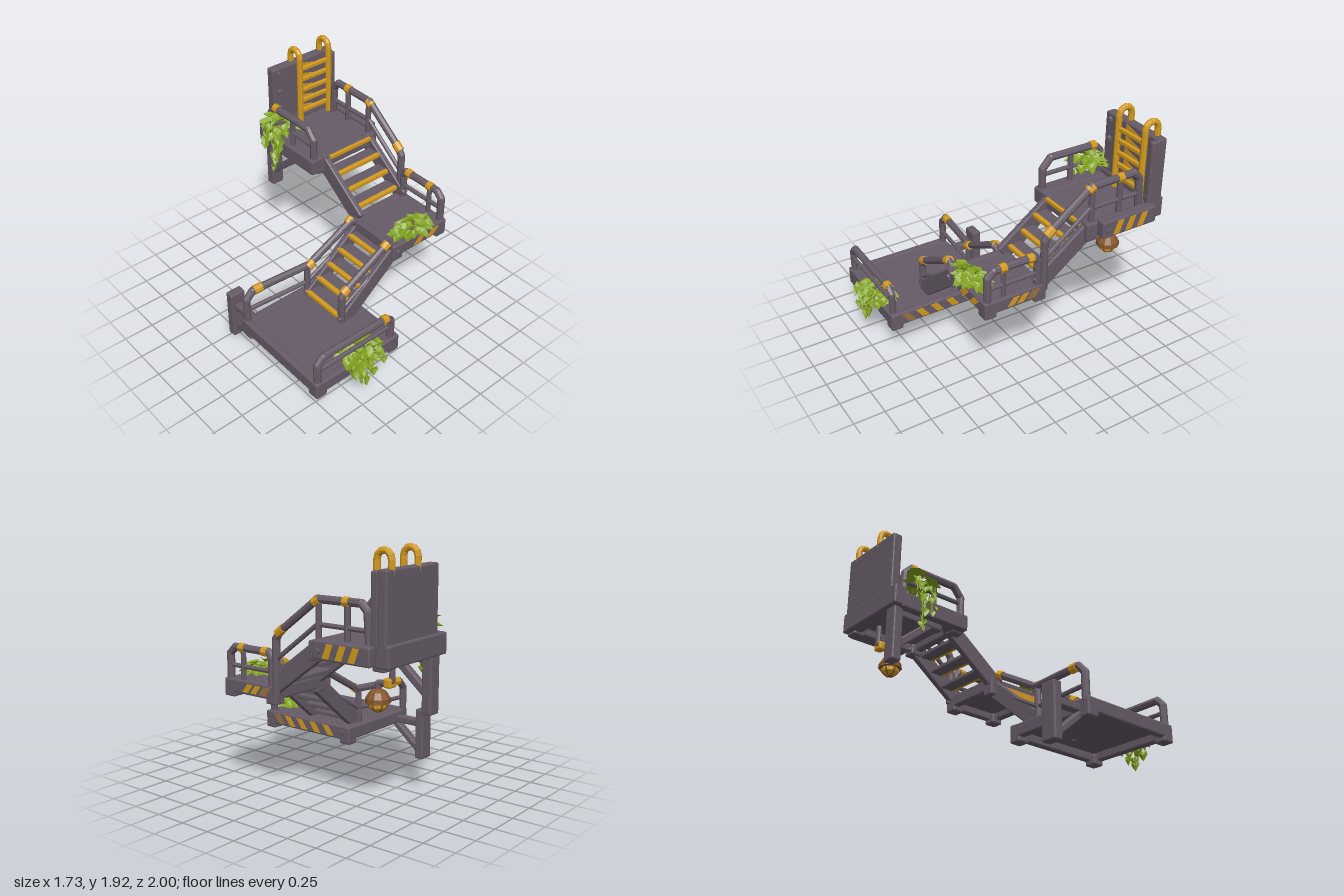
import * as THREE from 'three';
import { mergeGeometries } from 'three/addons/utils/BufferGeometryUtils.js';
import { RoundedBoxGeometry } from 'three/addons/geometries/RoundedBoxGeometry.js';

const material = (name, color) => Object.assign(new THREE.MeshStandardMaterial({ color }), { name });
const V = (x, y, z) => new THREE.Vector3(x, y, z);

export function createModel() {
  const root = new THREE.Group();
  root.name = 'industrialStairs';
  const steel = material('purple grey steel', 0x665b67);
  const yellow = material('safety yellow', 0xd39a1e);
  const worn = material('worn yellow', 0x97713f);
  const rust = material('rust brown', 0x85572c);
  const green = material('leaf green', 0x83a31f);
  green.side = THREE.DoubleSide;

  const flat = (geo) => {
    const g = geo.index ? geo.toNonIndexed() : geo;
    g.computeVertexNormals();
    return g;
  };
  const add = (name, geo, mat, parent = root) => {
    const m = new THREE.Mesh(flat(geo), mat);
    m.name = name;
    parent.add(m);
    return m;
  };
  // Chamfered box given by its extents
  const box = (name, mat, x0, x1, y0, y1, z0, z1, r = 0.012) => {
    const w = x1 - x0, h = y1 - y0, d = z1 - z0;
    const m = add(name, new RoundedBoxGeometry(w, h, d, 1, Math.min(r, w / 3, h / 3, d / 3)), mat);
    m.position.set((x0 + x1) / 2, (y0 + y1) / 2, (z0 + z1) / 2);
    return m;
  };
  // Rectangular bar between two points
  const beam = (name, mat, a, b, w, h) => {
    const m = add(name, new RoundedBoxGeometry(w, h, a.distanceTo(b), 1, 0.01), mat);
    m.position.copy(a).lerp(b, 0.5);
    m.lookAt(b);
    return m;
  };
  const rod = (a, b, r) => {
    const g = new THREE.CylinderGeometry(r, r, a.distanceTo(b), 8);
    const q = new THREE.Quaternion().setFromUnitVectors(V(0, 1, 0), b.clone().sub(a).normalize());
    const c = a.clone().lerp(b, 0.5);
    return g.applyQuaternion(q).translate(c.x, c.y, c.z);
  };
  // Pipe through a list of points, with ball joints at the bends
  const pipe = (name, mat, pts, r = 0.03) => {
    const parts = [];
    pts.forEach((p, i) => {
      if (i) parts.push(rod(pts[i - 1], p, r));
      if (i && i < pts.length - 1) parts.push(new THREE.SphereGeometry(r * 1.02, 8, 6).translate(p.x, p.y, p.z));
    });
    add(name, mergeGeometries(parts), mat);
  };
  const band = (a, b) => add('yellowBand', rod(a, b, 0.036), yellow);
  // Slanted hazard stripe on a +z face, or on a +x face when side is true
  const stripe = (u, y0, y1, plane, side, lean = 0.05, w = 0.055, mat = yellow) => {
    const s = new THREE.Shape([[-w / 2 - lean / 2, y0], [w / 2 - lean / 2, y0], [w / 2 + lean / 2, y1],
      [-w / 2 + lean / 2, y1]].map(([x, y]) => new THREE.Vector2(x, y)));
    const m = add('hazardStripe', new THREE.ExtrudeGeometry(s, { depth: 0.005, bevelEnabled: false }), mat);
    if (side) m.rotation.y = Math.PI / 2;
    m.position.set(side ? plane : u, 0, side ? u : plane);
  };
  const bolt = (x, y, z, side) => {
    const g = new THREE.CylinderGeometry(0.022, 0.026, 0.025, 6);
    if (side) g.rotateZ(-Math.PI / 2); else g.rotateX(Math.PI / 2);
    add('bolt', g.translate(x, y, z), steel);
  };
  // Deck sheet on a rim of four beams, with corner blocks
  const platform = (name, x0, x1, y0, y1, z0, z1) => {
    const t = 0.06;
    box(name + 'Deck', steel, x0 + 0.02, x1 - 0.02, y1 - 0.045, y1 - 0.005, z0 + 0.02, z1 - 0.02);
    for (const [a, b] of [[x0, x0 + t], [x1 - t, x1]]) box(name + 'SideBeam', steel, a, b, y0, y1, z0, z1);
    for (const [a, b] of [[z0, z0 + t], [z1 - t, z1]]) box(name + 'EndBeam', steel, x0 + 0.03, x1 - 0.03, y0 + 0.003, y1 - 0.003, a, b);
    for (const x of [x0 + 0.05, x1 - 0.05]) for (const z of [z0 + 0.05, z1 - 0.05])
      box(name + 'CornerBlock', steel, x - 0.05, x + 0.05, y0 - 0.035, y0 + 0.05, z - 0.05, z + 0.05);
  };

  // Platforms
  platform('lower', -0.86, -0.05, 0.26, 0.37, 0, 0.9);
  platform('middle', 0.2, 0.77, 0.755, 0.86, 0.03, 0.55);
  platform('upper', 0.16, 0.79, 1.14, 1.25, -0.95, -0.3);
  box('upperLeftBeam', steel, 0.1, 0.23, 1.12, 1.25, -0.92, -0.3);
  box('upperRightBeam', steel, 0.77, 0.86, 1.14, 1.275, -0.88, -0.39);
  box('upperBackBeam', steel, 0.1, 0.8, 1.13, 1.29, -0.99, -0.88);
  [0.63, 0.5, 0.36, 0.22].forEach((z) => stripe(z, 0.275, 0.355, -0.052, true, -0.06, 0.06));
  stripe(0.75, 0.275, 0.355, -0.052, true, -0.06, 0.06, worn);
  stripe(0.48, 0.775, 0.84, 0.548, false, 0.06, 0.07);
  stripe(0.62, 0.775, 0.84, 0.548, false, 0.06, 0.07);
  [0.31, 0.23].forEach((z) => stripe(z, 0.775, 0.84, 0.768, true));
  stripe(0.14, 0.775, 0.84, 0.768, true, 0.05, 0.07, worn);
  [-0.53, -0.64, -0.75].forEach((z) => stripe(z, 1.155, 1.26, 0.858, true, 0.04));
  bolt(0.86, 1.2, -0.44, true);
  bolt(0.25, 0.8, 0.555);
  bolt(-0.05, 0.32, 0.08, true);

  // Stairs with yellow nosings
  for (let i = 0; i < 5; i++) {
    const x = -0.29 + i * 0.107, y = 0.42 + i * 0.088;
    box('lowerTread', steel, x, x + 0.11, y - 0.035, y - 0.003, 0.09, 0.5, 0.006);
    box('lowerNosing', yellow, x - 0.02, x + 0.016, y - 0.035, y, 0.1, 0.49, 0.006);
  }
  for (let i = 0; i < 4; i++) {
    const z = 0.03 - i * 0.11, y = 0.93 + i * 0.104;
    box('upperTread', steel, 0.27, 0.72, y - 0.035, y - 0.003, z - 0.11, z, 0.006);
    box('upperNosing', yellow, 0.28, 0.71, y - 0.035, y, z - 0.016, z + 0.02, 0.006);
  }
  for (const z of [0.1, 0.5]) beam('lowerStringer', steel, V(-0.28, 0.35, z), V(0.26, 0.8, z), 0.05, 0.13);
  for (const x of [0.255, 0.73]) beam('upperStringer', steel, V(x, 0.85, 0.09), V(x, 1.2, -0.38), 0.05, 0.14);

  // Lower platform and lower stair railings
  pipe('lowerFrontRail', steel, [V(-0.82, 0.34, 0.86), V(-0.82, 0.53, 0.86), V(-0.77, 0.585, 0.86), V(-0.16, 0.575, 0.86), V(-0.11, 0.53, 0.86), V(-0.11, 0.34, 0.86)]);
  pipe('lowerFrontMidRail', steel, [V(-0.82, 0.47, 0.86), V(-0.11, 0.47, 0.86)], 0.018);
  band(V(-0.2, 0.577, 0.86), V(-0.15, 0.573, 0.86));
  pipe('lowerBackRail', steel, [V(-0.82, 0.34, 0.02), V(-0.82, 0.56, 0.02), V(-0.76, 0.625, 0.02), V(-0.25, 0.645, 0.08),
    V(0.16, 0.88, 0.1), V(0.2, 0.86, 0.1), V(0.22, 0.78, 0.1)]);
  pipe('lowerBackMidRail', steel, [V(-0.82, 0.47, 0.03), V(-0.27, 0.48, 0.08), V(0.18, 0.74, 0.1)], 0.018);
  pipe('lowerBackPost', steel, [V(-0.28, 0.34, 0.08), V(-0.27, 0.645, 0.08)], 0.025);
  band(V(-0.75, 0.625, 0.021), V(-0.68, 0.628, 0.029));
  pipe('lowerStairRail', steel, [V(-0.28, 0.34, 0.5), V(-0.28, 0.6, 0.5), V(-0.25, 0.645, 0.5), V(0.16, 0.88, 0.5), V(0.2, 0.86, 0.5), V(0.23, 0.8, 0.5)]);
  pipe('lowerStairMidRail', steel, [V(-0.28, 0.48, 0.5), V(0.18, 0.75, 0.5)], 0.018);
  for (const z of [0.09, 0.5]) {
    band(V(-0.27, 0.634, z), V(-0.22, 0.663, z));
    band(V(0.13, 0.863, z), V(0.18, 0.89, z));
  }

  // Middle platform and upper stair railings
  const mx = 0.735;
  pipe('middleRail', steel, [V(mx, 0.8, 0.51), V(mx, 1.05, 0.51), V(mx, 1.1, 0.46), V(mx, 1.1, 0.12), V(mx, 1.06, 0.09), V(mx, 0.8, 0.09)]);
  pipe('middleMidRail', steel, [V(mx, 0.96, 0.51), V(mx, 0.96, 0.09)], 0.018);
  pipe('middlePost', steel, [V(mx, 0.84, 0.38), V(mx, 1.1, 0.38)], 0.02);
  band(V(mx, 1.1, 0.41), V(mx, 1.1, 0.36));
  band(V(mx, 1.1, 0.18), V(mx, 1.1, 0.13));
  const ux = 0.745;
  pipe('upperRightRail', steel, [V(ux, 0.8, 0.04), V(ux, 1.21, 0.04), V(ux, 1.27, 0), V(ux, 1.535, -0.35), V(ux, 1.54, -0.73), V(ux, 1.49, -0.78), V(ux, 1.2, -0.8)]);
  pipe('upperRightMidRail', steel, [V(ux, 1.06, 0.04), V(ux, 1.36, -0.35), V(ux, 1.36, -0.79)], 0.018);
  for (const z of [-0.36, -0.61]) pipe('upperRightPost', steel, [V(ux, 1.22, z), V(ux, 1.53, z)], 0.023);
  band(V(ux, 1.25, 0.025), V(ux, 1.295, -0.033));
  band(V(ux, 1.51, -0.32), V(ux, 1.536, -0.37));
  band(V(ux, 1.538, -0.58), V(ux, 1.538, -0.63));
  pipe('upperLeftRail', steel, [V(0.15, 1.2, -0.34), V(0.15, 1.41, -0.34), V(0.15, 1.49, -0.41), V(0.15, 1.49, -0.82), V(0.15, 1.43, -0.88), V(0.15, 1.2, -0.89)]);
  pipe('upperLeftMidRail', steel, [V(0.15, 1.36, -0.34), V(0.15, 1.36, -0.89)], 0.018);
  pipe('upperLeftPost', steel, [V(0.15, 1.22, -0.6), V(0.15, 1.48, -0.6)], 0.022);
  band(V(0.15, 1.49, -0.78), V(0.15, 1.49, -0.83));

  // Back wall with hooked ladder
  box('backWall', steel, 0.19, 0.8, 1.25, 1.78, -0.97, -0.89);
  box('wallEdge', steel, 0.755, 0.8, 1.25, 1.77, -0.9, -0.84);
  [1.73, 1.57, 1.33].forEach((y) => bolt(0.25, y, -0.88));
  for (const x of [0.415, 0.715]) {
    const pts = [V(x, 1.25, -0.83), V(x, 1.82, -0.83)];
    for (let i = 0; i <= 6; i++) {
      const a = (i / 6) * Math.PI;
      pts.push(V(x, 1.84 + 0.058 * Math.sin(a), -0.888 + 0.058 * Math.cos(a)));
    }
    pts.push(V(x, 1.74, -0.946));
    pipe('ladderRail', yellow, pts, 0.025);
  }
  [1.35, 1.445, 1.54, 1.64, 1.735].forEach((y) => {
    box('ladderRung', yellow, 0.41, 0.72, y - 0.017, y + 0.017, -0.85, -0.82, 0.006);
    const s = new THREE.Shape([V(0.43, y - 0.05, 0), V(0.6, y - 0.01, 0), V(0.44, y + 0.03, 0)]);
    add('wornPaint', new THREE.ExtrudeGeometry(s, { depth: 0.006, bevelEnabled: false }).translate(0, 0, -0.892), yellow);
  });

  // Wall bracket under the lower platform
  box('lowerWallPlate', steel, -0.81, -0.68, 0, 0.43, -0.28, -0.205);
  box('lowerBracketArm', steel, -0.78, -0.71, 0.27, 0.33, -0.22, 0.03);
  beam('lowerBracketBrace', steel, V(-0.745, 0.26, 0.02), V(-0.745, 0.05, -0.23), 0.07, 0.05);
  bolt(-0.745, 0.09, -0.2);

  // Wall bracket under the upper platform
  box('upperWallPost', steel, 0.14, 0.25, 0.7, 1.15, -0.96, -0.88);
  beam('upperBracketBrace', steel, V(0.195, 1.14, -0.55), V(0.195, 0.84, -0.9), 0.06, 0.06);
  box('upperBracketArm', steel, 0.16, 0.23, 1.07, 1.13, -0.92, -0.5);

  // Hanging lamp
  const lx = 0.53, lz = -0.71;
  pipe('lampArm', steel, [V(lx, 1.14, -0.83), V(lx, 0.99, -0.83), V(lx, 0.97, -0.77), V(lx, 0.96, lz), V(lx, 0.9, lz)], 0.022);
  box('lampClamp', yellow, lx - 0.04, lx + 0.04, 0.94, 1.01, -0.84, -0.78);
  const lathe = (pts) => new THREE.LatheGeometry(pts.map(([r, y]) => new THREE.Vector2(r, y)), 10).translate(lx, 0, lz);
  add('lampCap', lathe([[0, 0.82], [0.09, 0.82], [0.088, 0.855], [0.06, 0.9], [0.025, 0.92], [0, 0.92]]), rust);
  add('lampGlass', lathe([[0, 0.755], [0.04, 0.765], [0.062, 0.79], [0.066, 0.83]]), yellow);
  for (let i = 0; i < 3; i++) {
    const cage = new THREE.TorusGeometry(0.068, 0.007, 5, 10, Math.PI).rotateX(Math.PI).rotateY((i * Math.PI) / 3);
    add('lampCage', cage.translate(lx, 0.825, lz), rust);
  }

  // Ivy: folded leaves scattered in clumps and along hanging strands
  let seed = 7;
  const rnd = () => (seed = (seed * 16807) % 2147483647) / 2147483647;
  const rim = [[0, 0], [0.45, -0.1], [0.55, 0.3], [0.28, 0.7], [0, 1.1], [-0.28, 0.7], [-0.55, 0.3], [-0.45, -0.1]];
  const leaf = (p, yaw, tilt, size) => {
    const pos = [];
    rim.forEach(([x, y], i) => {
      const [u, v] = rim[(i + 1) % rim.length];
      pos.push(0, 0.4, 0.15, x, y, -Math.abs(x) * 0.3, u, v, -Math.abs(u) * 0.3);
    });
    const g = new THREE.BufferGeometry().setAttribute('position', new THREE.Float32BufferAttribute(pos, 3));
    return g.scale(size, size, size).rotateX(tilt).rotateY(yaw).translate(p.x, p.y, p.z);
  };
  const ivy = (c, rx, ry, rz, count, strands) => {
    const leaves = [];
    for (let i = 0; i < count; i++) {
      const a = rnd() * Math.PI * 2, k = Math.sqrt(rnd()) * 0.85;
      const p = V(c.x + rx * k * Math.cos(a), c.y + ry * (1.1 - k * k * 1.6) + (rnd() - 0.5) * ry, c.z + rz * k * Math.sin(a));
      leaves.push(leaf(p, Math.PI / 2 - a + (rnd() - 0.5), 1.5 + rnd() * 0.7, 0.06 + rnd() * 0.025));
    }
    for (const [a, b, yaw] of strands) {
      pipe('ivyStem', green, [a, b], 0.005);
      const n = Math.ceil(a.distanceTo(b) / 0.035);
      for (let i = 0; i <= n; i++) {
        const p = a.clone().lerp(b, i / n).add(V((rnd() - 0.5) * 0.05, 0.02, (rnd() - 0.5) * 0.03));
        leaves.push(leaf(p, yaw + (rnd() - 0.5) * 2, 2.5 + rnd() * 0.5, 0.05 + rnd() * 0.02));
      }
    }
    add('ivyLeaves', mergeGeometries(leaves), green);
  };
  ivy(V(-0.4, 0.385, 0.85), 0.2, 0.035, 0.11, 55, [-0.58, -0.51, -0.45, -0.38, -0.3].map((x, i) =>
    [V(x, 0.38, 0.93), V(x + 0.01, [0.32, 0.25, 0.18, 0.24, 0.32][i], 0.955), 0]));
  ivy(V(0.46, 0.885, 0.48), 0.2, 0.045, 0.09, 70, []);
  ivy(V(0.14, 1.36, -0.76), 0.14, 0.07, 0.13, 50, [
    [V(0.08, 1.34, -0.76), V(0.07, 0.98, -0.75), -1.5],
    [V(0.05, 1.36, -0.83), V(0.04, 1.2, -0.83), -1.5],
    [V(0.07, 1.36, -0.68), V(0.06, 1.12, -0.68), -1.5]]);
  return root;
}
